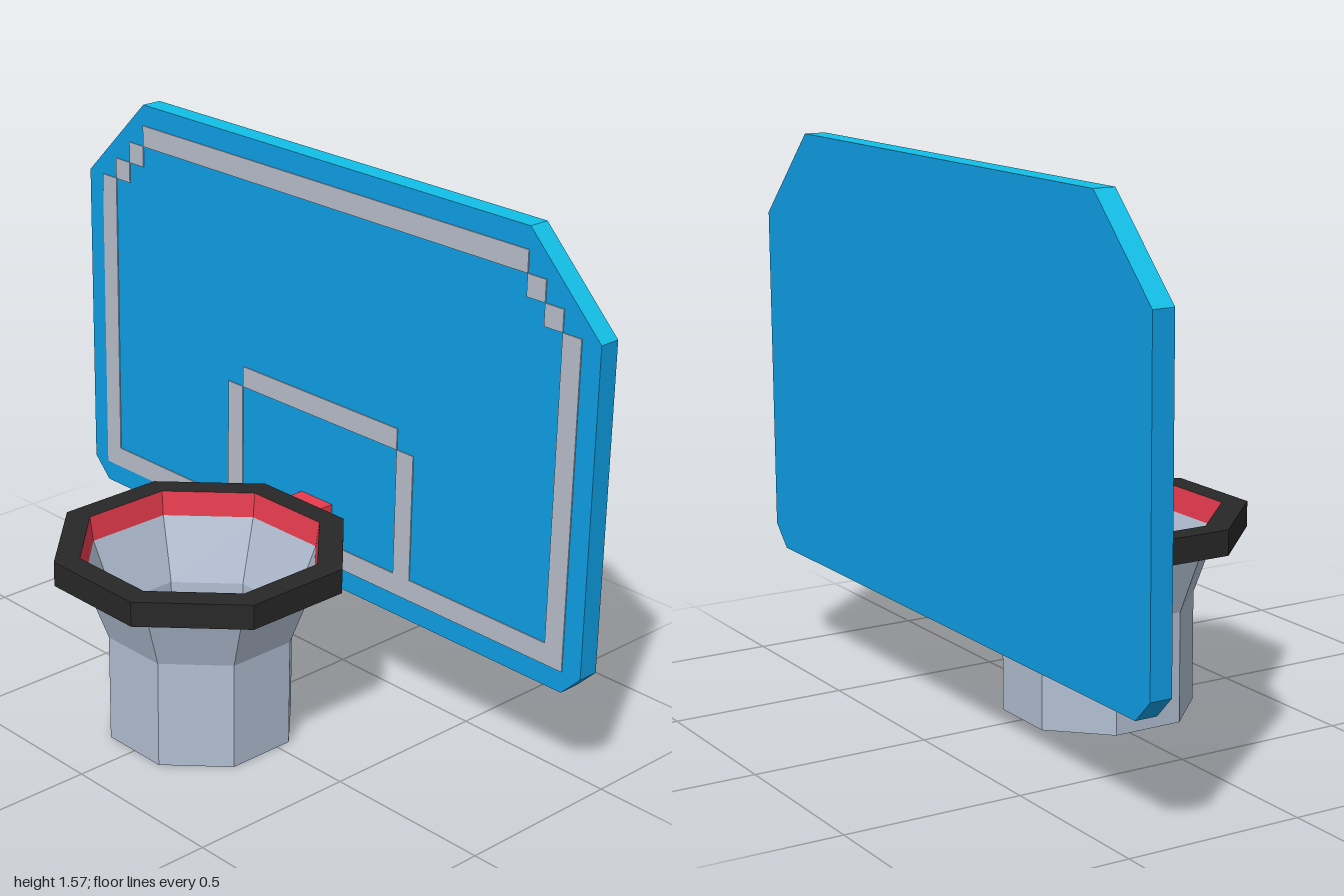
import * as THREE from 'three';

const material = (name, color, side = THREE.FrontSide) => {
  const m = new THREE.MeshStandardMaterial({ color, side });
  m.name = name;
  return m;
};

export function createModel() {
  const blue = material('board blue', 0x0f9fe6);
  const cyan = material('edge cyan', 0x12c0e8);
  const grey = material('line grey', 0xb8bdcb);
  const netGrey = material('net grey', 0xb1bed1, THREE.DoubleSide);
  const black = material('rim black', 0x282828);
  const red = material('bracket red', 0xee3d50);

  const model = new THREE.Group();
  model.name = 'basketballHoop';
  const add = (name, geometry, mat, x = 0, y = 0, z = 0, parent = model) => {
    const mesh = new THREE.Mesh(geometry, mat);
    mesh.name = name;
    mesh.position.set(x, y, z);
    parent.add(mesh);
    return mesh;
  };

  // Backboard: clipped rectangle, with lighter top and upper corner edges
  const bottom = 0.315, top = 1.565, depth = 0.0625, front = -0.38;
  const outline = new THREE.Shape([
    [-0.9375, bottom], [0.9375, bottom], [1, bottom + 0.0625], [1, top - 0.25],
    [0.75, top], [-0.75, top], [-1, top - 0.25], [-1, bottom + 0.0625],
  ].map(([x, y]) => new THREE.Vector2(x, y)));
  const boardGeo = new THREE.ExtrudeGeometry(outline, { depth, bevelEnabled: false });
  boardGeo.clearGroups();
  const normals = boardGeo.attributes.normal;
  for (let i = 0; i < normals.count; i += 3) {
    boardGeo.addGroup(i, 3, normals.getY(i) > 0.5 ? 1 : 0);
  }
  add('backboard', boardGeo, [blue, cyan], 0, 0, front - depth);

  // Painted lines on the board: [x0, x1, y0, y1]
  const lines = new THREE.Group();
  lines.name = 'boardLines';
  model.add(lines);
  const line = (name, x0, x1, y0, y1) => add(name,
    new THREE.BoxGeometry(x1 - x0, y1 - y0, 0.004), grey,
    (x0 + x1) / 2, (y0 + y1) / 2, front + 0.001, lines);
  line('bottomLine', -0.9375, 0.9375, 0.3775, 0.44);
  line('topLine', -0.75, 0.75, 1.44, 1.5025);
  line('targetTopLine', -0.3125, 0.3125, 0.815, 0.8775);
  const mirroredLine = (name, x0, x1, y0, y1) => {
    line(name + 'Left', x0, x1, y0, y1);
    line(name + 'Right', -x1, -x0, y0, y1);
  };
  mirroredLine('sideLine', 0.875, 0.9375, 0.44, 1.315);
  mirroredLine('lowerStep', 0.8125, 0.875, 1.315, 1.3775);
  mirroredLine('upperStep', 0.75, 0.8125, 1.3775, 1.44);
  mirroredLine('targetSideLine', 0.3125, 0.375, 0.44, 0.815);

  // Eight-sided faceted shells; profile radii are measured to the flats
  const hoopZ = 0.06;
  const octagon = (name, profile, mat) => {
    const points = profile.map(([r, y]) => new THREE.Vector2(r / Math.cos(Math.PI / 8), y));
    const geo = new THREE.LatheGeometry(points, 8, Math.PI / 8).toNonIndexed();
    geo.computeVertexNormals();
    return add(name, geo, mat, 0, 0, hoopZ);
  };
  octagon('rim', [[0.313, 0.498], [0.39, 0.498], [0.39, 0.57], [0.322, 0.57]], black);
  octagon('rimLining', [[0.322, 0.57], [0.313, 0.498]], red);
  octagon('net', [[0.25, 0], [0.25, 0.315], [0.313, 0.498]], netGrey);

  // Bracket joining rim and board
  add('bracket', new THREE.BoxGeometry(0.125, 0.125, 0.0625), red, 0, 0.5025, front + 0.0312);

  return model;
}
